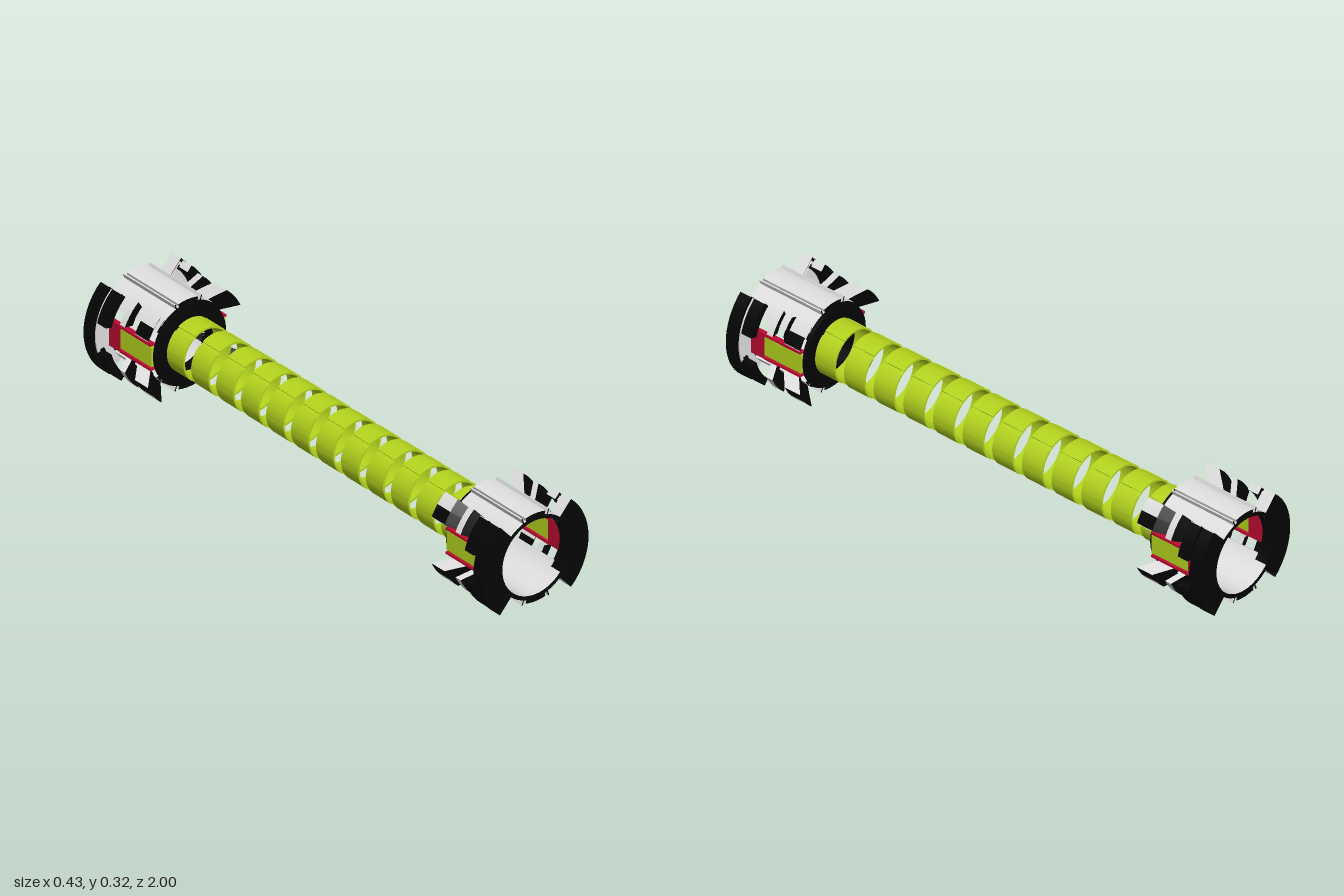
import * as THREE from 'three';
import { toCreasedNormals } from 'three/addons/utils/BufferGeometryUtils.js';

const mat = (name, color) => {
  const m = new THREE.MeshStandardMaterial({ color });
  m.name = name;
  return m;
};

// Annular sector around the z axis (degrees), from z0 to z1; slope shears z with radius
function sector(r0, r1, a0, a1, z0, z1, slope = 0) {
  const s = new THREE.Shape();
  const n = Math.max(2, Math.ceil((a1 - a0) / 6));
  const point = (r, i) => {
    const a = THREE.MathUtils.degToRad(a0 + ((a1 - a0) * i) / n);
    return [r * Math.cos(a), r * Math.sin(a)];
  };
  s.moveTo(...point(r1, 0));
  for (let i = 1; i <= n; i++) s.lineTo(...point(r1, i));
  for (let i = n; i >= 0; i--) s.lineTo(...point(r0, i));
  s.closePath();
  const g = new THREE.ExtrudeGeometry(s, { depth: z1 - z0, bevelEnabled: false });
  g.translate(0, 0, z0);
  if (slope) {
    const p = g.attributes.position;
    for (let i = 0; i < p.count; i++) {
      p.setZ(i, p.getZ(i) + slope * (Math.hypot(p.getX(i), p.getY(i)) - r0));
    }
  }
  return toCreasedNormals(g, 0.4);
}

function add(parent, name, geometry, material) {
  const m = new THREE.Mesh(geometry, material);
  m.name = name;
  parent.add(m);
  return m;
}

// Plain round band
function band(parent, name, r0, r1, z0, z1, material) {
  for (const a of [0, 180]) add(parent, name, sector(r0, r1, a, a + 180, z0, z1), material);
}

export function createModel() {
  const green = mat('lime green', 0xb6d61e);
  const grey = mat('light grey', 0xe2e2e2);
  const black = mat('black', 0x050505);
  const red = mat('crimson', 0xbe0c32);
  const blackEnds = [black, grey]; // axial faces black, the rest grey

  const model = new THREE.Group();
  model.name = 'ringTube';
  const core = new THREE.Group();
  core.name = 'core';
  core.position.y = 0.16;
  model.add(core);

  // Twelve loose rings, each with four shallow grooves
  for (let i = 0; i < 12; i++) {
    const ring = new THREE.Group();
    ring.name = 'ring';
    ring.position.z = (i - 5.5) * 0.1252;
    core.add(ring);
    for (const a of [0, 180]) {
      add(ring, 'ringSide', sector(0.09, 0.097, a - 50, a + 50, -0.043, 0.043), green);
      add(ring, 'ringTop', sector(0.09, 0.097, a + 59, a + 121, -0.043, 0.043), green);
      for (const b of [50, 121]) {
        add(ring, 'ringGroove', sector(0.09, 0.093, a + b, a + b + 9, -0.043, 0.043), green);
      }
    }
  }

  // The two identical end sockets
  for (const turn of [0, Math.PI]) {
    const end = new THREE.Group();
    end.name = 'endSocket';
    end.rotation.y = turn;
    core.add(end);

    // Inner flange with its collar
    band(end, 'innerFlange', 0.0893, 0.143, 0.728, 0.742, black);
    band(end, 'innerCollar', 0.0893, 0.097, 0.742, 0.77, black);

    for (const a of [0, 180]) {
      // Top and bottom shell with raised panel and thin ridges
      add(end, 'shell', sector(0.134, 0.148, a + 42, a + 138, 0.74, 1), blackEnds);
      add(end, 'raisedPanel', sector(0.147, 0.16, a + 75.5, a + 104.5, 0.74, 1), blackEnds);
      for (const b of [71, 109]) {
        add(end, 'ridge', sector(0.147, 0.166, a + b - 0.8, a + b + 0.8, 0.74, 1), blackEnds);
      }

      // Side wings: black plate with a pale inner face
      add(end, 'rimSide', sector(0.134, 0.148, a - 42, a + 42, 0.955, 1), black);
      add(end, 'wing', sector(0.147, 0.215, a - 47.4, a + 47.4, 0.955, 1), black);
      add(end, 'wingLining', sector(0.149, 0.205, a - 47.4, a + 47.4, 0.95, 0.955), grey);

      for (const s of [-1, 1]) {
        // Sector between two angles on the upper or lower half of this side
        const part = (name, r0, r1, a0, a1, z0, z1, material, slope) => {
          const [from, to] = s > 0 ? [a0, a1] : [-a1, -a0];
          add(end, name, sector(r0, r1, a + from, a + to, z0, z1, slope), material);
        };

        // Pale cut face and black skirt of the wing
        part('wingCut', 0.147, 0.215, 47.4, 48, 0.955, 1, blackEnds);
        part('wingNeck', 0.18, 0.195, 15, 47.4, 0.943, 0.955, black);
        part('wingSkirt', 0.188, 0.213, 15, 47.4, 0.9, 0.943, black);
        part('skirtCut', 0.188, 0.213, 47.4, 48, 0.9, 0.943, blackEnds);

        // Barbed claw
        part('clawBase', 0.134, 0.15, 33, 50, 0.742, 0.955, blackEnds);
        part('clawTip', 0.145, 0.205, 37, 50, 0.765, 0.83, blackEnds, -0.9);
        part('clawTipInner', 0.145, 0.205, 24.6, 37, 0.765, 0.83, black, -0.9);
        part('clawTipCut', 0.145, 0.205, 24, 24.6, 0.765, 0.83, blackEnds, -0.9);
        part('clawBarb', 0.145, 0.203, 24, 50, 0.855, 0.88, blackEnds, -0.45);
      }
    }

    // Side latches: green plate in a red frame
    for (const side of [-1, 1]) {
      const box = (name, w, h, d, y, z, m) => {
        add(end, name, new THREE.BoxGeometry(w, h, d), m).position.set(side * 0.144, y, z);
      };
      box('latchPlate', 0.012, 0.07, 0.155, 0, 0.818, green);
      box('latchHead', 0.016, 0.096, 0.055, 0, 0.9225, red);
      for (const y of [-0.044, 0.044]) box('latchRail', 0.02, 0.008, 0.155, y, 0.818, red);
    }
  }
  return model;
}
